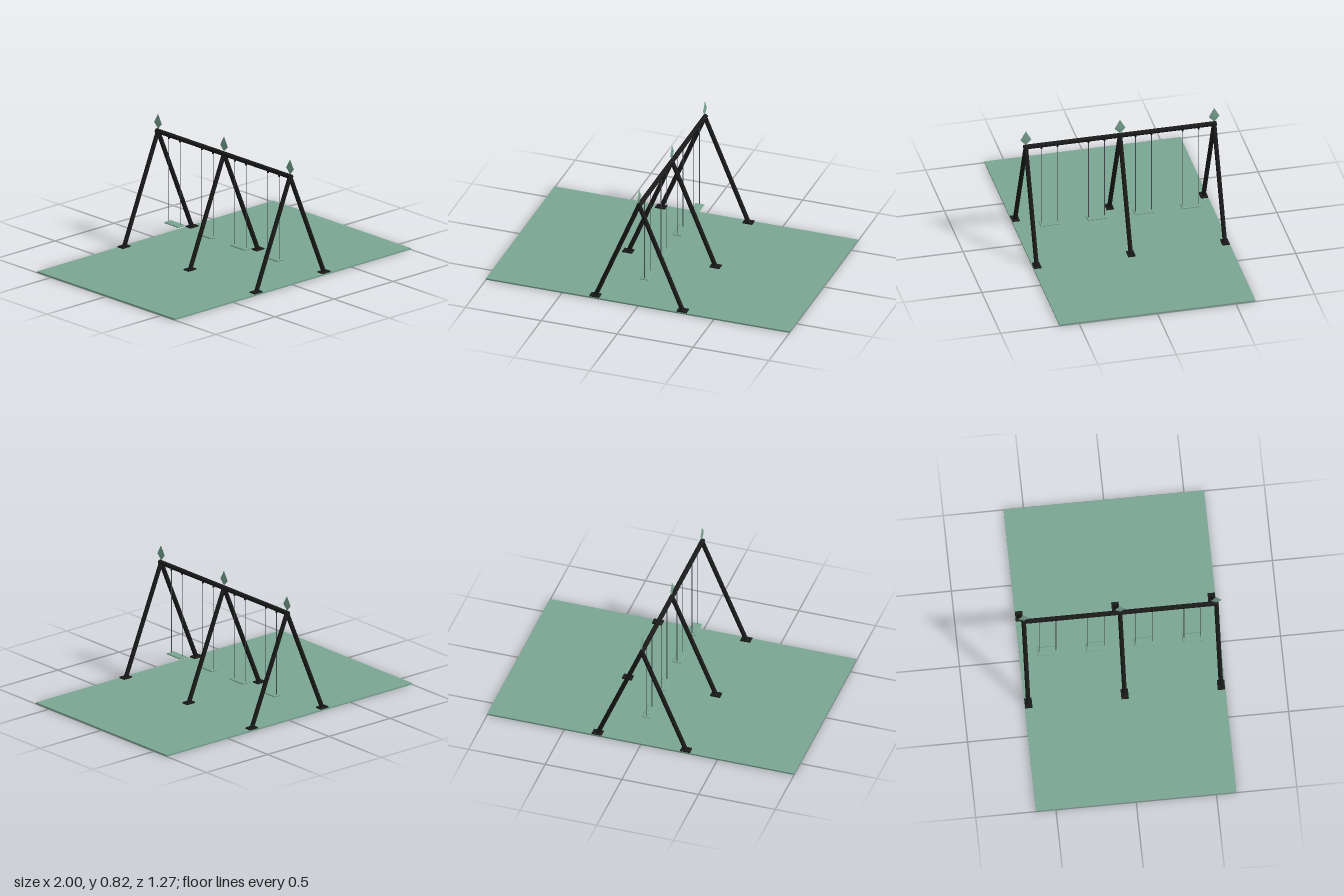
import * as THREE from 'three';

export function createModel() {
  const model = new THREE.Group();
  const mat = (name, color) => {
    const m = new THREE.MeshStandardMaterial({ color });
    m.name = name;
    return m;
  };
  const green = mat('sage green', 0x7aa592);
  const black = mat('frame black', 0x1a1a1a);
  const steel = mat('chain grey', 0x4c505a);

  const add = (name, geometry, material, x = 0, y = 0, z = 0) => {
    const mesh = new THREE.Mesh(geometry, material);
    mesh.name = name;
    mesh.position.set(x, y, z);
    model.add(mesh);
    return mesh;
  };

  // Straight round bar between two points
  const up = new THREE.Vector3(0, 1, 0);
  const bar = (name, a, b, radius, material, sides = 8) => {
    const from = new THREE.Vector3(...a);
    const dir = new THREE.Vector3(...b).sub(from);
    const geometry = new THREE.CylinderGeometry(radius, radius, dir.length(), sides);
    const mesh = add(name, geometry, material);
    mesh.position.copy(from).addScaledVector(dir, 0.5);
    mesh.quaternion.setFromUnitVectors(up, dir.normalize());
    return mesh;
  };

  // Ground mat
  add('groundMat', new THREE.BoxGeometry(2, 0.01, 1.25), green, 0, 0.005, 0);

  // Top beam
  bar('topBeam', [0, 0.703, -0.614], [0, 0.703, 0.614], 0.015, black, 12);

  // Flat diamond finial: four-sided bipyramid squashed in x
  const finial = new THREE.LatheGeometry(
    [[0, 0.718], [0.035, 0.755], [0, 0.816]].map(p => new THREE.Vector2(...p)), 4
  ).toNonIndexed();
  finial.scale(0.08, 1, 1);
  finial.computeVertexNormals();

  // A-frames with foot plates and finials
  const plate = new THREE.BoxGeometry(0.064, 0.009, 0.046);
  for (const z of [-0.6, 0, 0.6]) {
    for (const side of [-1, 1]) {
      bar('leg', [side * 0.288, 0.01, z], [0, 0.703, z], 0.014, black, 12);
      add('footPlate', plate, black, side * 0.288, 0.0135, z);
    }
    add('finial', finial, green, 0, 0, z);
  }

  // Seat slab with chamfered rim
  const shape = new THREE.Shape();
  shape.moveTo(-0.024, -0.058);
  shape.lineTo(0.024, -0.058);
  shape.lineTo(0.024, 0.058);
  shape.lineTo(-0.024, 0.058);
  shape.closePath();
  const seat = new THREE.ExtrudeGeometry(shape, {
    depth: 0.003, bevelEnabled: true, bevelThickness: 0.004, bevelSize: 0.005, bevelSegments: 1
  });
  seat.rotateX(-Math.PI / 2);

  // Swings: seat, two chains and their hangers
  const hanger = new THREE.CylinderGeometry(0.006, 0.006, 0.014, 8);
  for (const z of [-0.45, -0.15, 0.15, 0.45]) {
    add('seat', seat, green, 0, 0.13, z);
    for (const side of [-1, 1]) {
      const cz = z + side * 0.051;
      bar('chain', [0, 0.135, cz], [0, 0.69, cz], 0.002, steel, 6);
      add('hanger', hanger, black, 0, 0.685, cz);
    }
  }
  return model;
}
